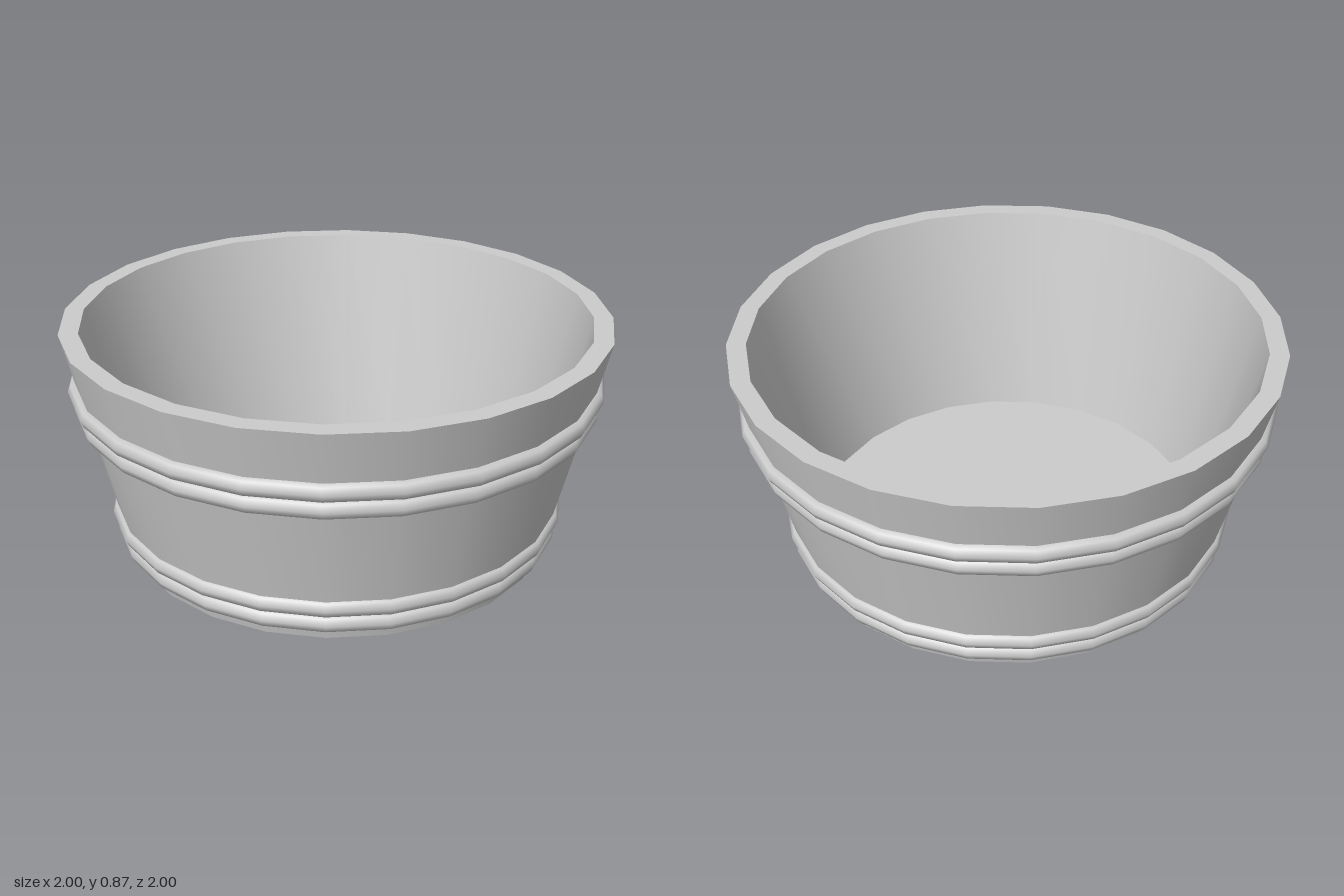
import * as THREE from 'three';
import { toCreasedNormals } from 'three/addons/utils/BufferGeometryUtils.js';

const SIDES = 24;

export function createModel() {
  const tub = new THREE.Group();
  tub.name = 'tub';
  const material = new THREE.MeshStandardMaterial({ color: 0xcccccc });

  function add(name, geometry, y = 0, mat = material) {
    const mesh = new THREE.Mesh(geometry, mat);
    mesh.name = name;
    mesh.position.y = y;
    tub.add(mesh);
  }

  // Flared wall: up the outside, over the rim, down the inside, under the foot
  const profile = [[0.8, 0], [1, 0.865], [0.93, 0.865], [0.73, 0], [0.8, 0]]
    .map(([r, y]) => new THREE.Vector2(r, y));
  add('wall', toCreasedNormals(new THREE.LatheGeometry(profile, SIDES), 0.7));

  // Thin floor, recessed slightly above the foot
  const floorMaterial = new THREE.MeshStandardMaterial({ color: 0xcccccc, side: THREE.DoubleSide });
  add('floor', new THREE.CircleGeometry(0.739, SIDES).rotateX(-Math.PI / 2), 0.04, floorMaterial);

  // Two pairs of hoops: name, ring radius, height
  const hoops = [
    ['lowerHoop1', 0.807, 0.07],
    ['lowerHoop2', 0.823, 0.14],
    ['upperHoop1', 0.931, 0.575],
    ['upperHoop2', 0.949, 0.645],
  ];
  for (const [name, radius, y] of hoops) {
    add(name, new THREE.TorusGeometry(radius, 0.035, 8, SIDES).rotateX(-Math.PI / 2), y);
  }
  return tub;
}
